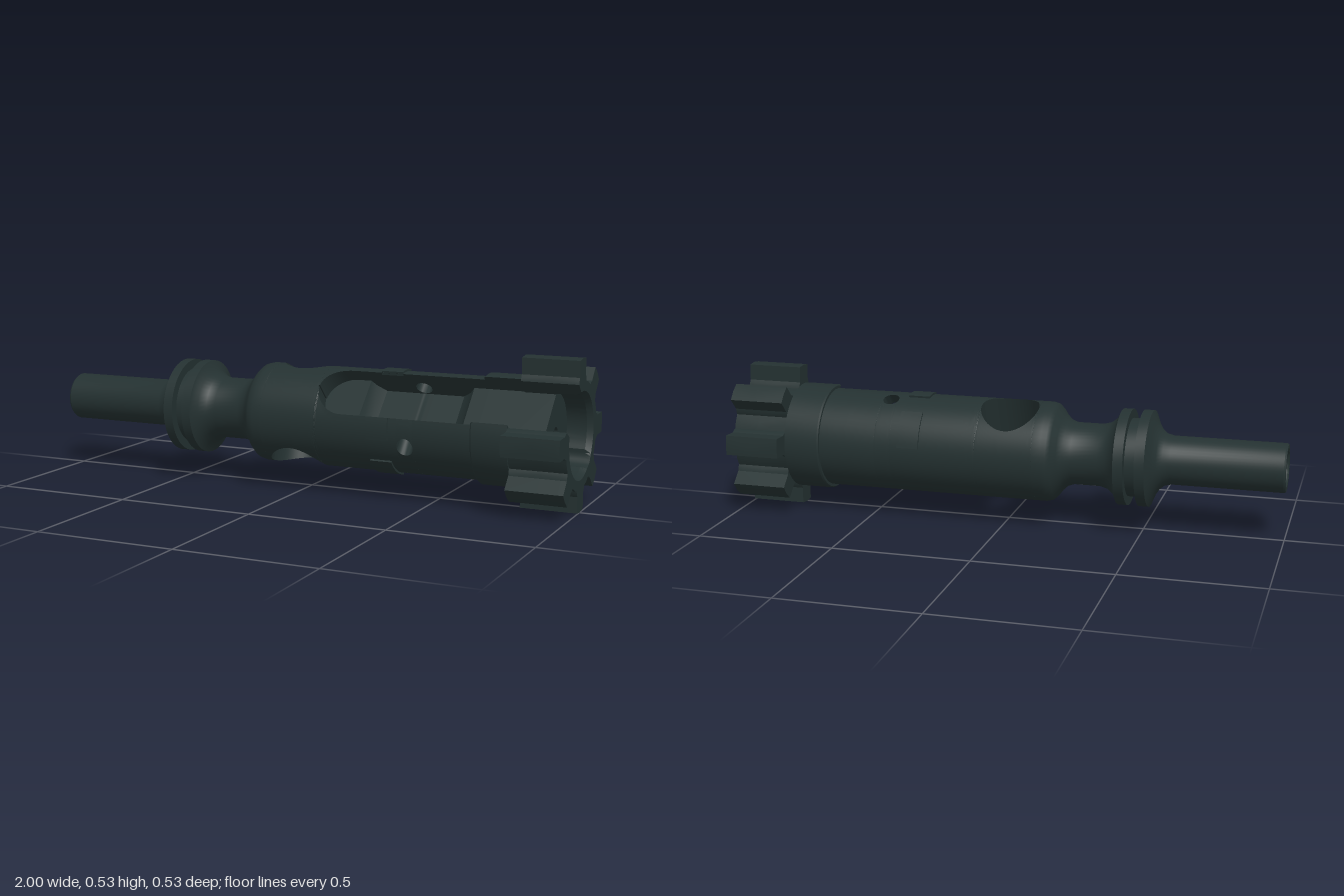
import * as THREE from 'three';
import { toCreasedNormals } from 'three/addons/utils/BufferGeometryUtils.js';

const steel = new THREE.MeshStandardMaterial({ color: 0x243131 });
steel.name = 'dark steel';

const R = 0.18;          // body radius
const SLOT_W = 0.095;    // half width of the side slot
const PIN_U = 0.078;     // height of the cross pin above the axis
const deg = THREE.MathUtils.degToRad;
const polar = (r, a) => [r * Math.cos(a), r * Math.sin(a)];

function arc(r, a0, a1, n) {
  return Array.from({ length: n + 1 }, (_, i) => polar(r, a0 + (a1 - a0) * i / n));
}

// Solid through counter-clockwise cross-sections [{ z, pts }], capped at both ends
function loft(sections) {
  const pos = [];
  const n = sections[0].pts.length;
  const put = (s, i) => pos.push(s.pts[i % n][0], s.pts[i % n][1], s.z);
  for (let k = 0; k < sections.length - 1; k++) {
    const a = sections[k], b = sections[k + 1];
    for (let i = 0; i < n; i++) {
      put(a, i); put(a, i + 1); put(b, i + 1);
      put(a, i); put(b, i + 1); put(b, i);
    }
  }
  const cap = (s, flip) => {
    const tris = THREE.ShapeUtils.triangulateShape(s.pts.map(p => new THREE.Vector2(...p)), []);
    for (const [i, j, k] of tris) (flip ? [k, j, i] : [i, j, k]).forEach(v => put(s, v));
  };
  cap(sections[0], true);
  cap(sections[sections.length - 1], false);
  const geo = new THREE.BufferGeometry();
  geo.setAttribute('position', new THREE.Float32BufferAttribute(pos, 3));
  return geo;
}

// Round body with the slot cut towards +x; pin = half width of the pin hole, or null
function slotted(r, w, d, pin = null) {
  if (pin === null) {
    const a = Math.asin(w / r);
    return [...arc(r, a, 2 * Math.PI - a, 44), [d, -w], [d, w]];
  }
  const u = PIN_U - pin, a = Math.acos(u / r);
  return [...arc(r, a, 2 * Math.PI - a, 36), [u, -w], [d, -w], [d, w], [u, w]];
}

// Slot wall left above the pin hole
function lip(pin, side) {
  const u = PIN_U + pin;
  const pts = [...arc(R, Math.asin(SLOT_W / R), Math.acos(u / R), 8), [u, SLOT_W]];
  return side > 0 ? pts : pts.map(([x, y]) => [x, -y]).reverse();
}

// Outline of the head: seven lugs with fillets, gap at the slot
function lugOutline() {
  const pts = [];
  for (let k = 1; k <= 7; k++) {
    const a = deg(k * 45 + 1.5);
    const at = (r, side) => {
      const [c, s] = polar(1, a);
      return [r * c - side * s, r * s + side * c];
    };
    pts.push(polar(0.187, a - 0.25), at(0.192, -0.043), at(0.203, -0.036), at(0.26, -0.036),
      at(0.264, 0), at(0.26, 0.036), at(0.203, 0.036), at(0.192, 0.043), polar(0.187, a + 0.25));
    if (k < 7) pts.push(polar(0.188, a + Math.PI / 8));
  }
  return pts;
}

// Front rim: lug outline around the recess, widened beside the ejector
function rimSection(r) {
  const a = Math.asin(0.092 / r), inner = [];
  for (let i = 0; i <= 72; i++) {
    const t = 2 * Math.PI - a - (2 * Math.PI - 2 * a) * i / 72;
    const q = 0.04 ** 2 - (0.118 * Math.sin(t)) ** 2;
    const notch = q > 0 && Math.cos(t) < 0 ? -0.118 * Math.cos(t) + Math.sqrt(q) : 0;
    inner.push(polar(Math.max(r, notch), t));
  }
  return [...lugOutline(), ...inner];
}

export function createModel() {
  const model = new THREE.Group();
  model.name = 'bolt';
  const turn = new THREE.Group();   // long axis onto x
  turn.position.y = 0.267;
  turn.rotation.y = Math.PI / 2;
  model.add(turn);
  const body = new THREE.Group();   // slot faces up and forward
  body.name = 'boltBody';
  body.rotation.z = deg(135);
  turn.add(body);
  const add = (name, geo, crease = 0.55) => {
    const mesh = new THREE.Mesh(toCreasedNormals(geo, crease), steel);
    mesh.name = name;
    body.add(mesh);
    return mesh;
  };

  // Hollow tail, ring flanges, neck and shoulder
  const profile = [[0, -0.7], [0.064, -0.7], [0.064, -0.995], [0.068, -1], [0.083, -1], [0.087, -0.994],
    [0.087, -0.6], [0.093, -0.575], [0.11, -0.555], [0.135, -0.54], [0.172, -0.525], [0.172, -0.49],
    [0.14, -0.49], [0.14, -0.45], [0.172, -0.45], [0.172, -0.415], [0.14, -0.4], [0.12, -0.375],
    [0.112, -0.345], [0.112, -0.25], [0.121, -0.225], [0.14, -0.205], [0.163, -0.188], [0.175, -0.175],
    [R, -0.155], [R, -0.125], [0, -0.125]].map(p => new THREE.Vector2(...p));
  add('tailAndRings', new THREE.LatheGeometry(profile, 48).rotateX(Math.PI / 2));

  // Two halves left beside the tilted cross hole
  const HOLE = 0.105;
  for (const side of [1, -1]) {
    const sections = [];
    for (let i = 0; i <= 24; i++) {
      const t = Math.PI * i / 24, a = Math.acos(HOLE * Math.sin(t) / R), mid = deg(-65 + side * 90);
      sections.push({ z: -0.02 - HOLE * Math.cos(t), pts: arc(R, mid - a, mid + a, 24) });
    }
    add('crossHoleSide', loft(sections));
  }

  // Body behind the pin: rounded slot end, then the deep pocket
  const rear = [{ z: 0.085, pts: slotted(R, 0.003, 0.1) }];
  for (let i = 0; i <= 10; i++) {
    const t = Math.PI / 2 * i / 10;
    rear.push({ z: 0.185 - SLOT_W * Math.cos(t), pts: slotted(R, Math.max(0.003, SLOT_W * Math.sin(t)), 0.1) });
  }
  for (const [z, d] of [[0.235, 0.1], [0.25, 0.075], [0.28, 0.045], [0.401, 0.045]])
    rear.push({ z, pts: slotted(R, SLOT_W, d) });
  add('slottedBodyRear', loft(rear));

  // Body at the pin hole
  const steps = Array.from({ length: 13 }, (_, i) => Math.PI * i / 12);
  const pinLoft = f => loft(steps.map(t => ({ z: 0.43 - 0.03 * Math.cos(t), pts: f(0.029 * Math.sin(t)) })));
  add('pinHoleBody', pinLoft(h => slotted(R, SLOT_W, 0.045, h)));
  for (const side of [1, -1]) add('pinHoleLip', pinLoft(h => lip(h, side)));

  // Body ahead of the pin and the collar behind the lugs
  add('slottedBodyFront', loft([[0.459, 0.045], [0.57, 0.045], [0.6, 0.07], [0.62, 0.1], [0.67, 0.1]]
    .map(([z, d]) => ({ z, pts: slotted(R, SLOT_W, d) }))));
  add('collar', loft([[0.67, 0.19], [0.675, 0.194], [0.8, 0.194]]
    .map(([z, r]) => ({ z, pts: slotted(r, SLOT_W, 0.1) }))));

  // Slightly raised pads around the body
  for (const [a, b] of [[32, 57], [85, 128], [-57, -32], [-128, -85]]) {
    const pts = [...arc(0.187, deg(a), deg(b), 8), ...arc(0.172, deg(b), deg(a), 8)];
    add('raisedPad', loft([{ z: 0.29, pts }, { z: 0.37, pts }]));
  }

  // Lugged head with the bored face
  const shape = new THREE.Shape([...lugOutline(), [0.1, -0.092], [0.1, 0.092]].map(p => new THREE.Vector2(...p)));
  for (const [x, r] of [[0, 0.024], [-0.118, 0.04]])
    shape.holes.push(new THREE.Path().absarc(x, 0, r, 0, 2 * Math.PI, true));
  const head = new THREE.ExtrudeGeometry(shape, { depth: 0.11, bevelEnabled: false, curveSegments: 16 });
  add('luggedHead', head.translate(0, 0, 0.8), 0.4);
  add('luggedRim', loft([[0.91, 0.138], [0.98, 0.14], [1, 0.152]]
    .map(([z, r]) => ({ z, pts: rimSection(r) }))), 0.4);

  // Ejector set into its hole
  const ejector = add('ejector', new THREE.CylinderGeometry(0.012, 0.039, 0.08, 24).rotateX(Math.PI / 2));
  ejector.position.set(-0.118, 0, 0.845);

  return model;
}
